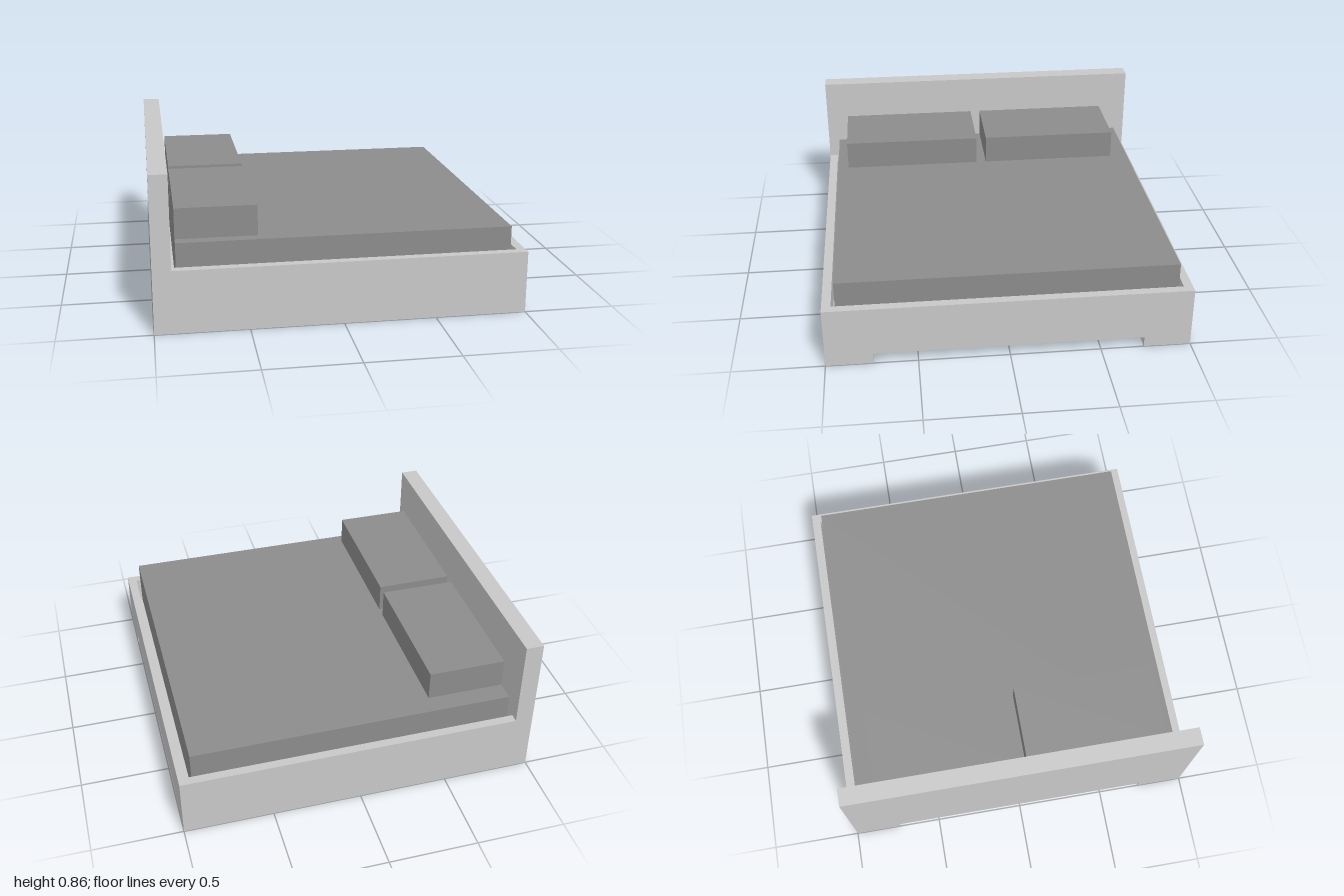
import * as THREE from 'three';

export function createModel() {
  const bed = new THREE.Group();
  bed.name = 'bed';

  const frameGrey = new THREE.MeshStandardMaterial({ color: 0xc8c8c8 });
  frameGrey.name = 'light grey frame';
  const beddingGrey = new THREE.MeshStandardMaterial({ color: 0x8c8c8c });
  beddingGrey.name = 'dark grey bedding';

  function add(name, geometry, material) {
    const mesh = new THREE.Mesh(geometry, material);
    mesh.name = name;
    bed.add(mesh);
  }

  // Box given by its limits on each axis
  function box(name, [x0, x1], [y0, y1], [z0, z1], material) {
    const geometry = new THREE.BoxGeometry(x1 - x0, y1 - y0, z1 - z0);
    geometry.translate((x0 + x1) / 2, (y0 + y1) / 2, (z0 + z1) / 2);
    add(name, geometry, material);
  }

  const clearance = 0.06, railTop = 0.345, footInner = 0.74;
  const innerX = [-0.9, 0.95];

  // Upright end board with a low cut-out between its two feet
  function endBoard(name, x0, x1, top) {
    const shape = new THREE.Shape([
      [-1, 0], [-footInner, 0], [-footInner, clearance], [footInner, clearance],
      [footInner, 0], [1, 0], [1, top], [-1, top],
    ].map(([z, y]) => new THREE.Vector2(z, y)));
    const geometry = new THREE.ExtrudeGeometry(shape, { depth: x1 - x0, bevelEnabled: false });
    geometry.rotateY(Math.PI / 2);
    geometry.translate(x0, 0, 0);
    add(name, geometry, frameGrey);
  }
  endBoard('headboard', -1, -0.9, 0.855);
  endBoard('footboard', 0.95, 1, railTop);

  // Side rails and the long runners beneath them
  for (const [side, s] of [['front', 1], ['back', -1]]) {
    const span = (a, b) => (s > 0 ? [a, b] : [-b, -a]);
    box(side + 'Rail', innerX, [clearance, railTop], span(0.95, 1), frameGrey);
    box(side + 'Runner', innerX, [0, clearance], span(footInner, 1), frameGrey);
  }

  // Recessed deck that carries the mattress
  box('deck', innerX, [clearance, 0.2], [-0.95, 0.95], frameGrey);

  // Mattress and pillows
  box('mattress', [-0.875, 0.925], [0.2, 0.47], [-0.93, 0.93], beddingGrey);
  box('frontPillow', [-0.875, -0.44], [0.47, 0.637], [0.05, 0.865], beddingGrey);
  box('backPillow', [-0.875, -0.44], [0.47, 0.637], [-0.82, -0.01], beddingGrey);

  return bed;
}
